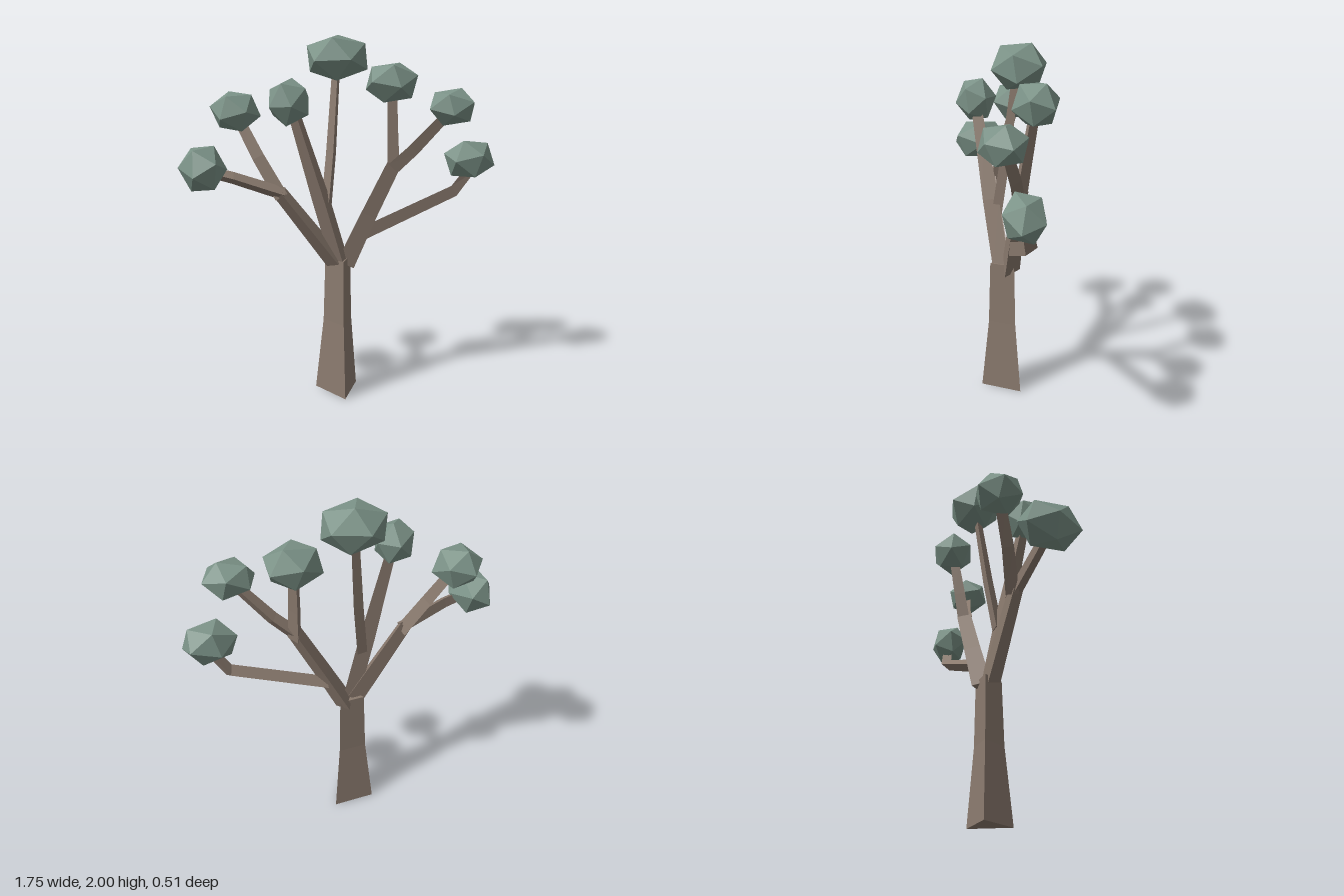
import * as THREE from 'three';

// Three-sided limb swept along points [x, y, z, radius]; ridge is the angle of one edge from the front
function limbGeometry(points, ridge) {
  const centres = points.map(p => new THREE.Vector3(p[0], p[1], p[2]));
  const rings = centres.map((c, i) => {
    const before = centres[Math.max(i - 1, 0)];
    const after = centres[Math.min(i + 1, centres.length - 1)];
    const t = after.clone().sub(before).normalize();
    const u = new THREE.Vector3(0, 0, 1);
    u.addScaledVector(t, -u.dot(t)).normalize();
    const v = t.clone().cross(u);
    return [0, 1, 2].map(k => {
      const a = ridge + k * Math.PI * 2 / 3;
      return c.clone()
        .addScaledVector(u, Math.cos(a) * points[i][3])
        .addScaledVector(v, Math.sin(a) * points[i][3]);
    });
  });
  const corners = [];
  for (let i = 0; i < rings.length - 1; i++) {
    const a = rings[i], b = rings[i + 1];
    for (let k = 0; k < 3; k++) {
      const n = (k + 1) % 3;
      corners.push(a[k], a[n], b[n], a[k], b[n], b[k]);
    }
  }
  const first = rings[0], last = rings[rings.length - 1];
  corners.push(first[2], first[1], first[0], last[0], last[1], last[2]);
  const g = new THREE.BufferGeometry().setFromPoints(corners);
  g.computeVertexNormals();
  return g;
}

// Turned icosahedron fitted to a centre and half sizes
function clumpGeometry(centre, half, turn) {
  const g = new THREE.IcosahedronGeometry(1, 0);
  g.rotateX(turn[0]).rotateY(turn[1]).rotateZ(turn[2]);
  g.center();
  g.computeBoundingBox();
  const m = g.boundingBox.max;
  g.scale(half[0] / m.x, half[1] / m.y, half[2] / m.z);
  g.translate(...centre);
  g.computeVertexNormals();
  return g;
}

export function createModel() {
  const tree = new THREE.Group();
  tree.name = 'tree';
  const bark = new THREE.MeshStandardMaterial({ color: 0x8a7a6e, flatShading: true });
  bark.name = 'bark brown';
  const leaf = new THREE.MeshStandardMaterial({ color: 0x7b9287, flatShading: true });
  leaf.name = 'leaf green';
  const add = (name, geometry, material) => {
    const mesh = new THREE.Mesh(geometry, material);
    mesh.name = name;
    tree.add(mesh);
  };

  // Trunk and branches: ridge 0 puts an edge in front, PI a flat face
  const R = Math.PI;
  const limbs = [
    ['trunk', 0, [[-0.018, 0, 0.022, 0.14], [-0.016, 0.42, 0.024, 0.094], [-0.015, 0.785, 0.024, 0.083]]],
    ['rightFork', 0, [[-0.04, 0.77, 0.03, 0.06], [-0.35, 1.18, 0.05, 0.045]]],
    ['rightLowBranch', 0, [[-0.33, 1.17, 0.055, 0.04], [-0.6, 1.27, 0.065, 0.036], [-0.74, 1.31, 0.06, 0.034]]],
    ['rightHighBranch', R, [[-0.34, 1.15, 0.04, 0.042], [-0.45, 1.36, -0.03, 0.038], [-0.54, 1.56, -0.11, 0.033]]],
    ['middleFork', 0, [[-0.01, 0.76, 0.035, 0.058], [-0.125, 1.13, 0.075, 0.056], [-0.28, 1.6, 0.13, 0.036]]],
    ['topBranch', 0, [[-0.095, 1.06, 0.05, 0.034], [-0.055, 1.38, 0.01, 0.032], [-0.015, 1.82, -0.04, 0.025]]],
    ['leftFork', R, [[0.015, 0.75, 0.005, 0.062], [0.15, 1.02, 0, 0.054], [0.295, 1.3, 0, 0.048]]],
    ['leftHighBranch', R, [[0.295, 1.27, 0, 0.041], [0.298, 1.46, -0.03, 0.037], [0.305, 1.68, -0.065, 0.032]]],
    ['leftMiddleBranch', R, [[0.29, 1.285, 0.015, 0.042], [0.4, 1.39, 0.045, 0.039], [0.57, 1.59, 0.115, 0.032]]],
    ['leftLowBranch', R, [[0.13, 0.925, 0.005, 0.043], [0.655, 1.14, 0.015, 0.039], [0.74, 1.27, 0.05, 0.034]]],
  ];
  for (const [name, ridge, points] of limbs) add(name, limbGeometry(points, ridge), bark);

  // Leaf clumps at the branch tips: centre, half sizes, turn
  const clumps = [
    ['rightLowLeaves', [-0.75, 1.325, 0.06], [0.125, 0.115, 0.15], [0.3, 0.5, 0.1]],
    ['rightHighLeaves', [-0.553, 1.6, -0.123], [0.133, 0.103, 0.133], [0.55, 0.3, 0.05]],
    ['middleLeaves', [-0.31, 1.66, 0.138], [0.11, 0.12, 0.113], [0.2, 0.9, 0.3]],
    ['topLeaves', [-0.008, 1.88, -0.052], [0.158, 0.12, 0.153], [0.6, 0.2, -0.2]],
    ['leftHighLeaves', [0.31, 1.745, -0.078], [0.135, 0.107, 0.123], [0.4, 1.1, 0.2]],
    ['leftMiddleLeaves', [0.588, 1.62, 0.127], [0.14, 0.1, 0.113], [0.5, 0.7, 0.35]],
    ['leftLowLeaves', [0.732, 1.32, 0.053], [0.138, 0.11, 0.108], [0.25, 0.2, -0.15]],
  ];
  for (const [name, centre, half, turn] of clumps) add(name, clumpGeometry(centre, half, turn), leaf);

  return tree;
}
